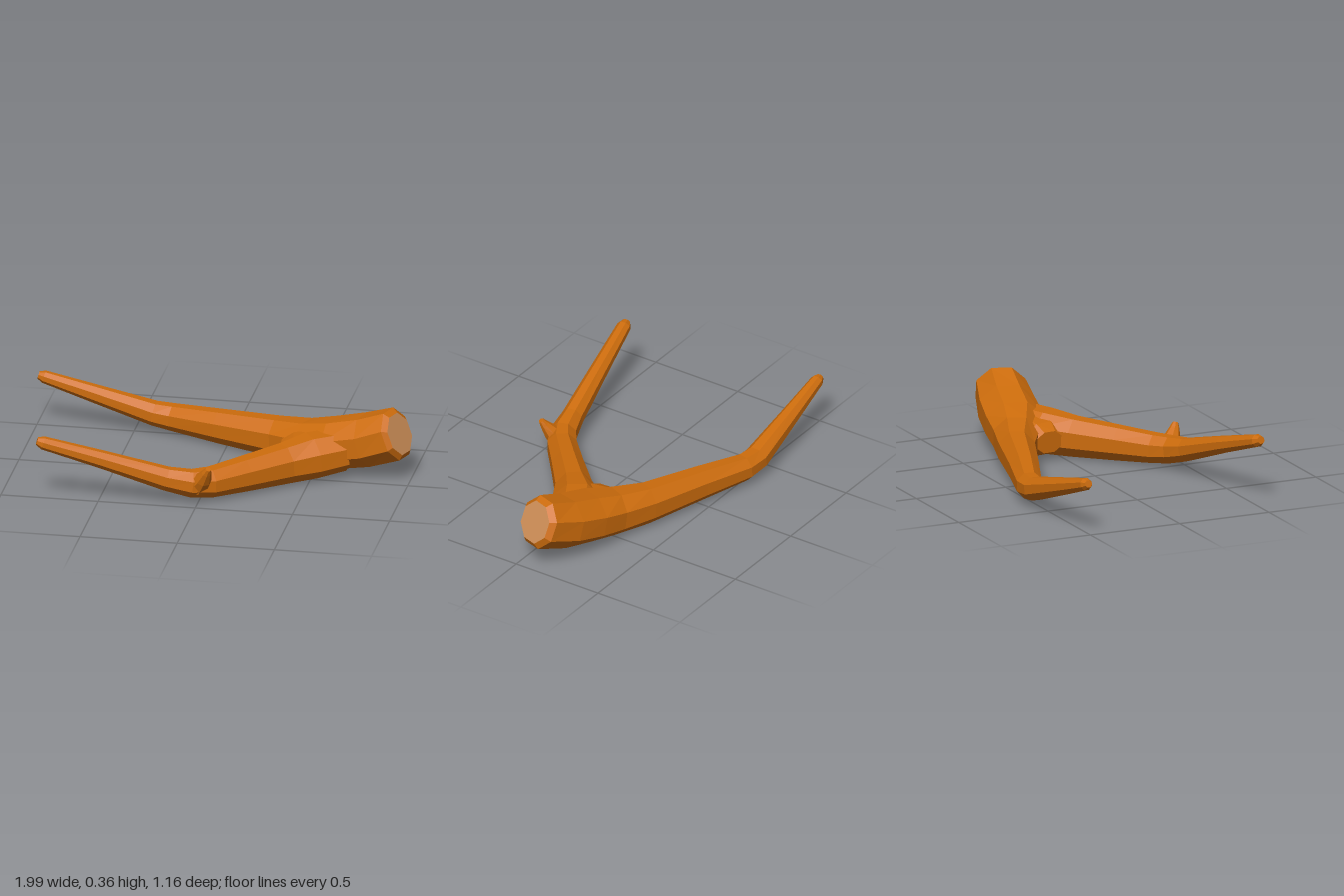
import * as THREE from 'three';

const SIDES = 8;
const UP = new THREE.Vector3(0, 1, 0);

// Octagonal rings along a path; node = [x, y, z, half height, half width, optional tangent]
function makeRings(nodes) {
  const pts = nodes.map((n) => new THREE.Vector3(n[0], n[1], n[2]));
  const last = pts.length - 1;
  return nodes.map((n, i) => {
    const t = new THREE.Vector3();
    if (n[5]) t.set(...n[5]);
    else {
      if (i > 0) t.add(pts[i].clone().sub(pts[i - 1]).normalize());
      if (i < last) t.add(pts[i + 1].clone().sub(pts[i]).normalize());
    }
    t.normalize();
    const side = t.clone().cross(UP).normalize();
    const up = side.clone().cross(t);
    const k = 1 / Math.cos(Math.PI / SIDES);
    return Array.from({ length: SIDES }, (_, j) => {
      const a = ((j + 0.5) / SIDES) * Math.PI * 2;
      return pts[i].clone()
        .addScaledVector(side, Math.cos(a) * n[4] * k)
        .addScaledVector(up, Math.sin(a) * n[3] * k);
    });
  });
}

function toMesh(name, verts, material) {
  const geo = new THREE.BufferGeometry().setFromPoints(verts);
  geo.computeVertexNormals();
  const mesh = new THREE.Mesh(geo, material);
  mesh.name = name;
  return mesh;
}

// Fan over a ring; flip turns it to face along the path
function fan(ring, flip) {
  const out = [];
  for (let j = 1; j < SIDES - 1; j++) {
    out.push(ring[0], ring[flip ? j + 1 : j], ring[flip ? j : j + 1]);
  }
  return out;
}

// Skin between the rings, closed at the far tip
function skin(rings) {
  const out = [];
  for (let i = 0; i < rings.length - 1; i++) {
    const a = rings[i], b = rings[i + 1];
    for (let j = 0; j < SIDES; j++) {
      const k = (j + 1) % SIDES;
      out.push(a[j], b[j], b[k], a[j], b[k], a[k]);
    }
  }
  return out.concat(fan(rings[rings.length - 1], true));
}

export function createModel() {
  const group = new THREE.Group();
  group.name = 'forkedBranch';
  const bark = new THREE.MeshStandardMaterial({ color: 0xcc6c0c, flatShading: true });
  const wood = new THREE.MeshStandardMaterial({ color: 0xd09058, flatShading: true });

  // Trunk running on into the long rear limb
  const cut = [-0.88, -0.37, -0.3];
  const trunk = makeRings([
    [0.945, 0.256, -0.078, 0.102, 0.1, cut],
    [0.925, 0.25, -0.09, 0.127, 0.125, cut],
    [0.77, 0.193, -0.13, 0.127, 0.142],
    [0.6, 0.152, -0.165, 0.122, 0.148],
    [0.45, 0.122, -0.225, 0.112, 0.118],
    [0.28, 0.108, -0.305, 0.1, 0.092],
    [-0.04, 0.1, -0.415, 0.083, 0.075],
    [-0.3, 0.094, -0.51, 0.066, 0.064],
    [-0.4, 0.104, -0.522, 0.059, 0.062],
    [-0.7, 0.19, -0.515, 0.044, 0.045],
    [-0.965, 0.267, -0.508, 0.03, 0.031],
    [-0.993, 0.275, -0.507, 0.018, 0.019],
  ]);
  group.add(toMesh('trunkAndRearLimb', skin(trunk), bark));

  // Sawn face at the thick end
  group.add(toMesh('cutFace', fan(trunk[0], false), wood));

  // Front limb growing out of the trunk and bending at the elbow
  const front = makeRings([
    [0.64, 0.14, -0.11, 0.1, 0.12],
    [0.5, 0.125, -0.035, 0.108, 0.125],
    [0.38, 0.113, 0.068, 0.098, 0.093],
    [0.2, 0.105, 0.23, 0.085, 0.08],
    [0.05, 0.1, 0.363, 0.073, 0.074],
    [-0.04, 0.108, 0.415, 0.067, 0.066],
    [-0.16, 0.134, 0.44, 0.058, 0.053],
    [-0.48, 0.235, 0.493, 0.043, 0.043],
    [-0.775, 0.323, 0.543, 0.031, 0.034],
    [-0.805, 0.333, 0.548, 0.019, 0.02],
  ]);
  group.add(toMesh('frontLimb', skin(front), bark));

  // Web filling the crotch of the fork
  const web = makeRings([
    [0.52, 0.125, -0.13, 0.095, 0.12],
    [0.4, 0.115, -0.1, 0.085, 0.11],
    [0.335, 0.112, -0.095, 0.055, 0.075],
  ]);
  group.add(toMesh('forkWeb', skin(web), bark));

  // Stub of a broken twig at the elbow
  const twig = makeRings([
    [0.0, 0.1, 0.41, 0.055, 0.06],
    [0.03, 0.145, 0.445, 0.038, 0.042],
    [0.052, 0.19, 0.47, 0.022, 0.025],
    [0.064, 0.215, 0.481, 0.013, 0.014],
  ]);
  group.add(toMesh('twigStub', skin(twig), bark));

  return group;
}
